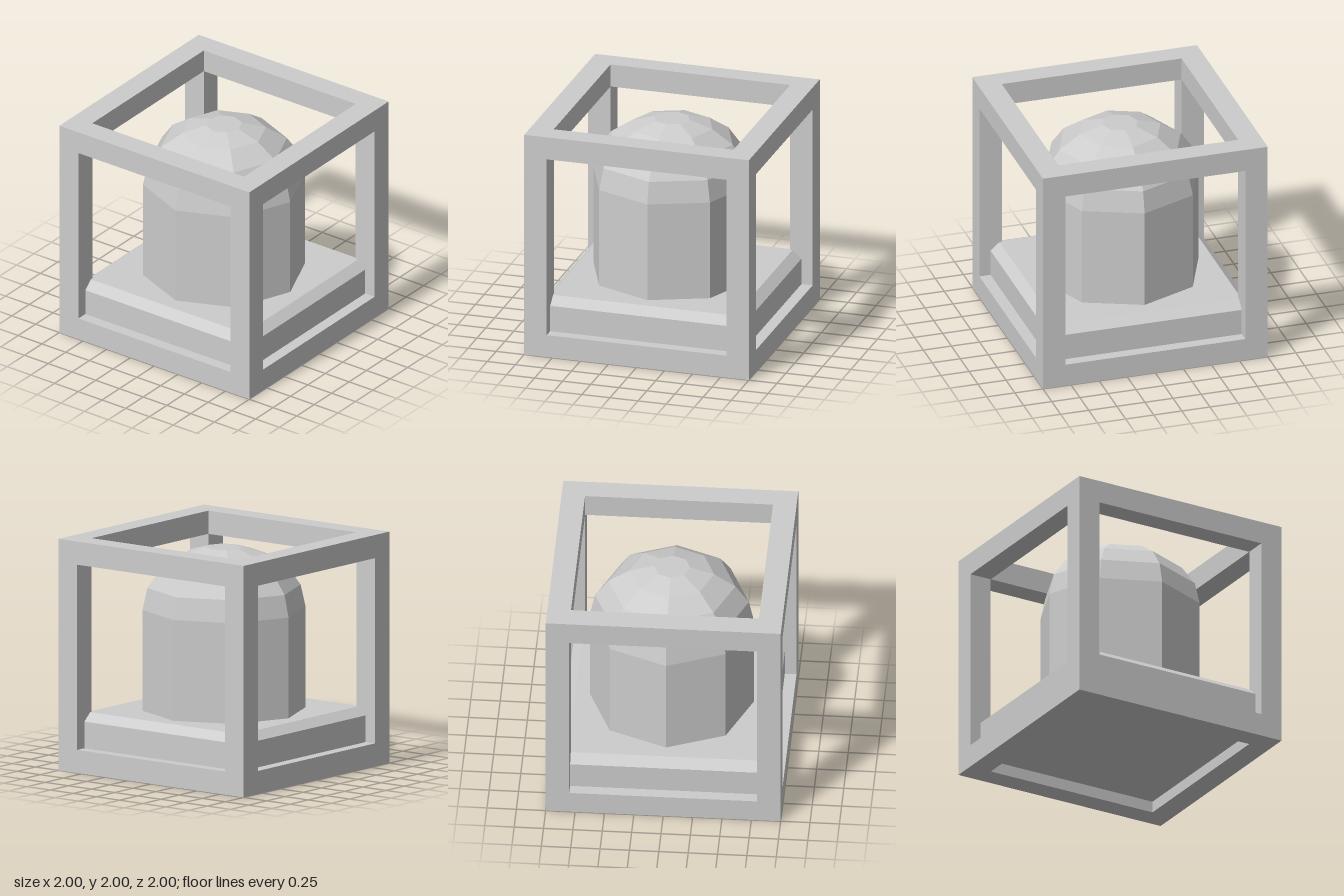
import * as THREE from 'three';

export function createModel() {
  const model = new THREE.Group();
  model.name = 'cagedDome';
  const grey = new THREE.MeshStandardMaterial({ color: 0xcccccc, flatShading: true });
  grey.name = 'light grey';

  const add = (geometry, name, parent, x = 0, y = 0, z = 0) => {
    const mesh = new THREE.Mesh(geometry, grey);
    mesh.name = name;
    mesh.position.set(x, y, z);
    parent.add(mesh);
    return mesh;
  };
  // Faceted solid of revolution from [radius, height] pairs, bottom to top
  const turned = (profile, sides, scale = 1) =>
    new THREE.LatheGeometry(profile.map(([r, y]) => new THREE.Vector2(r * scale, y)), sides);

  // Open cube frame: four posts with beams fitted between them
  const frame = new THREE.Group();
  frame.name = 'frame';
  model.add(frame);
  const bar = 0.2, span = 1.6, c = 0.9;
  for (const a of [-c, c]) {
    for (const b of [-c, c]) {
      add(new THREE.BoxGeometry(bar, 2, bar), 'post', frame, a, 1, b);
      add(new THREE.BoxGeometry(span, bar, bar), 'crossBeam', frame, 0, 1 + a, b);
      add(new THREE.BoxGeometry(bar, bar, span), 'sideBeam', frame, b, 1 + a, 0);
    }
  }

  // Square floor slab with a chamfered upper edge
  const slab = turned([[0, 0.1], [0.9, 0.1], [0.9, 0.43], [0.82, 0.5], [0, 0.5]], 4, Math.SQRT2);
  slab.rotateY(Math.PI / 4);
  add(slab, 'floorSlab', model);

  // Eight-sided body with a domed top
  add(turned([
    [0, 0.49], [0.697, 0.49], [0.697, 1.37], [0.655, 1.56],
    [0.54, 1.72], [0.36, 1.84], [0.155, 1.9], [0, 1.9],
  ], 8), 'domedBody', model);

  return model;
}
